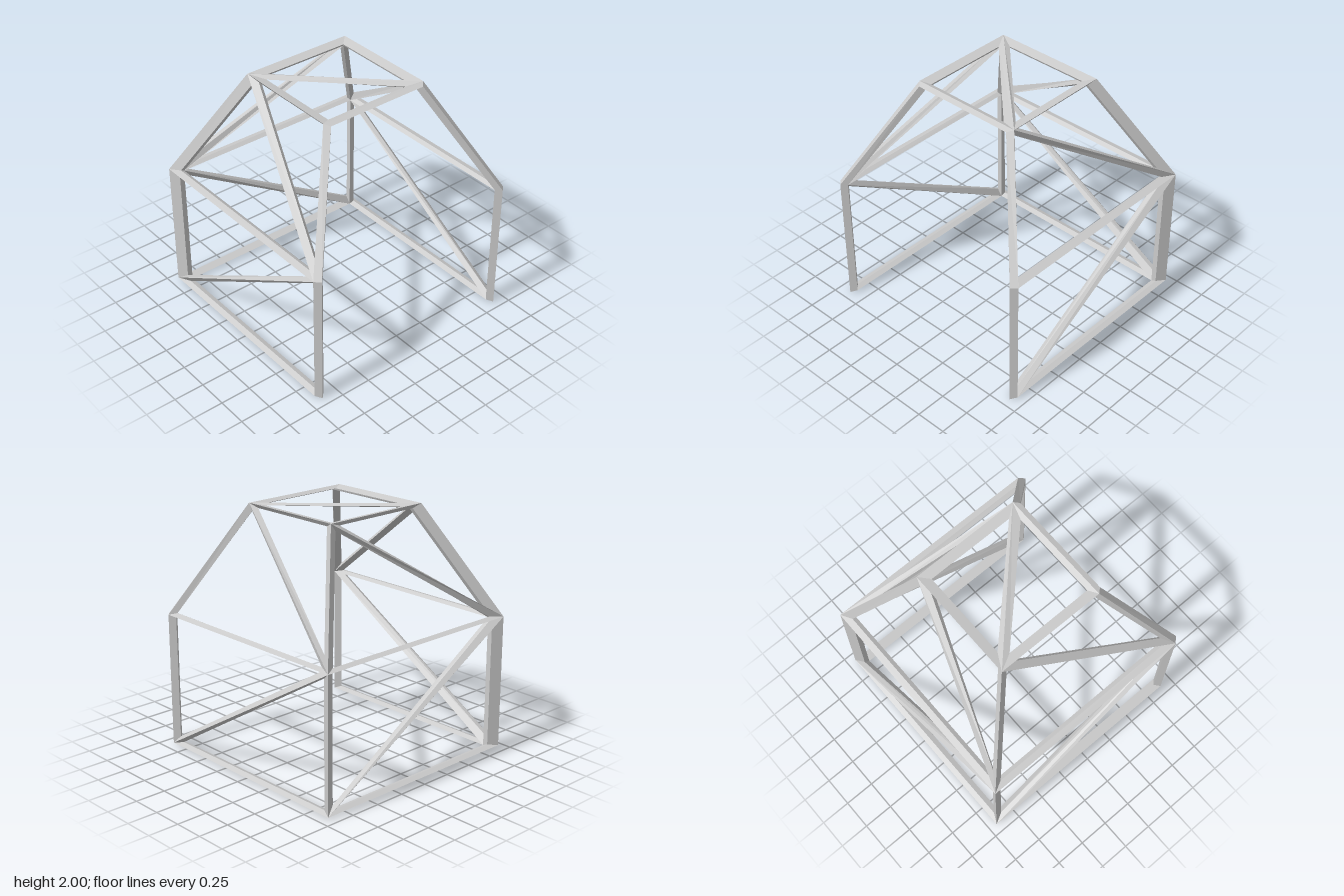
import * as THREE from 'three';

const HALF = 0.0425;   // half thickness of a beam
const SQUASH = 0.4;    // beams are flattened vertically by this factor
const SIZE = [0.89, 0.89, 0.435];        // half width of the base, eaves and roof squares
const HEIGHT = [0.017, 1.1, 1.983];
const CORNERS = [[1, 1], [1, -1], [-1, -1], [-1, 1]];

const material = new THREE.MeshStandardMaterial({ color: 0xcccccc, flatShading: true });

// Joint index is level * 4 + corner
const joints = [];
for (let level = 0; level < 3; level++) {
  for (const [x, z] of CORNERS) {
    joints.push(new THREE.Vector3(x * SIZE[level], HEIGHT[level] / SQUASH, z * SIZE[level]));
  }
}

// Triangular panels outlined by beams: three walls in two tiers, plus the flat roof (front stays open)
const panels = [[8, 9, 10], [8, 10, 11]];
for (let i = 0; i < 3; i++) {
  const j = i + 1;
  panels.push([i, j, 4 + j], [i, 4 + j, 4 + i], [4 + i, 4 + j, 8 + i], [4 + j, 8 + j, 8 + i]);
}

const direction = (a, b) => joints[b].clone().sub(joints[a]).normalize();
const edgeKey = (a, b) => Math.min(a, b) + '_' + Math.max(a, b);

function beamName(a, b) {
  const la = Math.floor(a / 4), lb = Math.floor(b / 4);
  const apart = Math.abs(a % 4 - b % 4);
  if (la === lb) return apart === 2 ? 'roofBrace' : ['baseRail', 'eavesRail', 'roofRail'][la];
  if (apart) return Math.min(la, lb) === 0 ? 'wallBrace' : 'upperBrace';
  return Math.min(la, lb) === 0 ? 'cornerPost' : 'rafter';
}

export function createModel() {
  const group = new THREE.Group();
  group.name = 'openFrame';

  // Panel normals and angle-weighted joint normals
  const uses = {};
  const corners = joints.map(() => []);
  const panelNormals = panels.map((p) => {
    const n = direction(p[0], p[1]).cross(direction(p[0], p[2])).normalize();
    p.forEach((a, k) => {
      const b = p[(k + 1) % 3], c = p[(k + 2) % 3];
      corners[a].push({ n, angle: direction(a, b).angleTo(direction(a, c)) });
      uses[edgeKey(a, b)] = (uses[edgeKey(a, b)] || 0) + 1;
    });
    return n;
  });

  // Outer and inner ridge points of every joint
  const outer = [], inner = [];
  joints.forEach((v, i) => {
    const normal = new THREE.Vector3();
    corners[i].forEach(({ n, angle }) => normal.addScaledVector(n, angle));
    normal.normalize();
    let sum = 0, weight = 0;
    corners[i].forEach(({ n, angle }) => {
      sum += angle / Math.max(0.2, normal.dot(n));
      weight += angle;
    });
    const d = HALF * sum / weight;
    outer.push(v.clone().addScaledVector(normal, d));
    inner.push(v.clone().addScaledVector(normal, -d));
  });

  // Side points along the open rim
  const rimDirs = joints.map(() => []);
  panels.forEach((p, f) => p.forEach((a, k) => {
    const b = p[(k + 1) % 3];
    if (uses[edgeKey(a, b)] > 1) return;
    const out = direction(a, b).cross(panelNormals[f]).normalize();
    rimDirs[a].push(out);
    rimDirs[b].push(out);
  }));
  const rim = joints.map((v, i) => {
    if (!rimDirs[i].length) return null;
    const dir = new THREE.Vector3();
    rimDirs[i].forEach((d) => dir.add(d));
    dir.normalize();
    return v.clone().addScaledVector(dir, HALF / dir.dot(rimDirs[i][0]));
  });

  // Collect the faces of each beam
  const beams = {};
  panels.forEach((p) => {
    const inset = p.map((a, k) => {
      const d1 = direction(a, p[(k + 1) % 3]), d2 = direction(a, p[(k + 2) % 3]);
      const half = d1.angleTo(d2) / 2;
      return joints[a].clone().addScaledVector(d1.add(d2).normalize(), HALF / Math.sin(half));
    });
    p.forEach((a, k) => {
      const m = (k + 1) % 3, b = p[m], key = edgeKey(a, b);
      const beam = beams[key] || (beams[key] = { name: beamName(a, b), points: [] });
      const quad = (q, r, s, t) => beam.points.push(q, r, s, q, s, t);
      quad(outer[a], outer[b], inset[m], inset[k]);
      quad(inner[b], inner[a], inset[k], inset[m]);
      if (uses[key] === 1) {
        quad(outer[b], outer[a], rim[a], rim[b]);
        quad(inner[a], inner[b], rim[b], rim[a]);
      }
    });
  });

  // One mesh per beam
  for (const { name, points } of Object.values(beams)) {
    const geometry = new THREE.BufferGeometry().setFromPoints(points);
    geometry.scale(1, SQUASH, 1);
    geometry.computeVertexNormals();
    const mesh = new THREE.Mesh(geometry, material);
    mesh.name = name;
    group.add(mesh);
  }
  return group;
}
